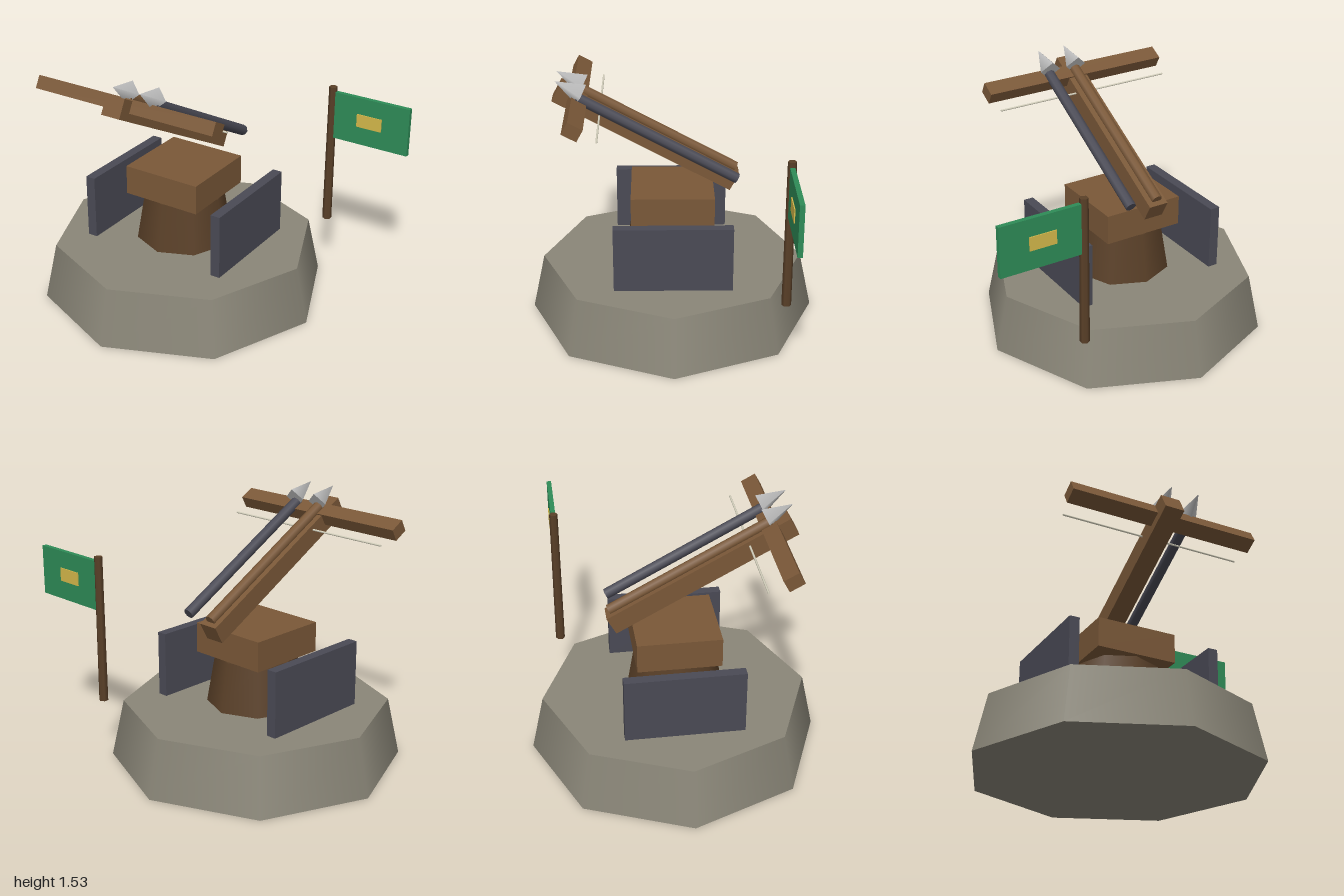
import * as THREE from 'three';

const mat = (name, color) => Object.assign(new THREE.MeshStandardMaterial({ color }), { name });
const MID = -0.14; // x of the turret's axis

export function createModel() {
  const stone = mat('stone', 0x8a8678);
  const wood = mat('wood', 0x7a5838);
  const darkWood = mat('dark wood', 0x5a4028);
  const iron = mat('iron', 0x4a4a55);
  const steel = mat('steel', 0xc0c0c0);
  const cord = mat('cord', 0xd8d4c0);
  const green = mat('flag green', 0x2e8b57);
  const gold = mat('emblem gold', 0xd4b84a);

  const model = new THREE.Group();
  model.name = 'ballistaTurret';

  const add = (parent, name, geometry, material, x, y, z) => {
    const mesh = new THREE.Mesh(geometry, material);
    mesh.name = name;
    mesh.position.set(x, y, z);
    parent.add(mesh);
    return mesh;
  };
  const box = (w, h, d) => new THREE.BoxGeometry(w, h, d);
  const cyl = (top, bottom, h, sides) => new THREE.CylinderGeometry(top, bottom, h, sides);

  // Octagonal plinth, pedestal and turntable
  add(model, 'plinth', cyl(0.785, 0.86, 0.345, 8), stone, MID, 0.1725, 0);
  add(model, 'pedestal', cyl(0.24, 0.29, 0.295, 8), darkWood, MID, 0.4945, 0);
  add(model, 'turntable', box(0.49, 0.178, 0.49), wood, MID, 0.741, 0);

  // Shield plates on both sides
  for (const side of [-1, 1]) {
    add(model, side > 0 ? 'leftShield' : 'rightShield', box(0.06, 0.39, 0.69), iron, MID + side * 0.44, 0.547, 0);
  }

  // Tilted ballista: its own +z runs along the stock
  const ballista = new THREE.Group();
  ballista.name = 'ballista';
  ballista.position.set(MID, 1.1375, 0.15);
  ballista.rotation.x = -0.5;
  model.add(ballista);

  add(ballista, 'stock', box(0.12, 0.114, 1.18), wood, 0, 0, 0);
  add(ballista, 'bow', box(1.175, 0.077, 0.094), wood, 0, 0.026, 0.466);
  add(ballista, 'bowstring', cyl(0.006, 0.006, 1.125, 6), cord, 0, 0.028, 0.32).rotation.z = Math.PI / 2;

  // Rail on the stock and loose bolt beside it, each with a pointed head
  const shafts = [['rail', 0, wood], ['bolt', 0.175, iron]];
  for (const [name, x, material] of shafts) {
    add(ballista, name + 'Shaft', cyl(0.032, 0.032, 1.05, 8), material, x, 0.071, -0.035).rotation.x = Math.PI / 2;
    add(ballista, name + 'Head', new THREE.ConeGeometry(0.065, 0.166, 4), steel, x, 0.1, 0.556).rotation.x = Math.PI / 2;
  }

  // Flag at the back corner
  add(model, 'flagPole', cyl(0.025, 0.028, 0.88, 6), darkWood, 0.498, 0.79, -0.638);
  add(model, 'flag', box(0.48, 0.295, 0.028), green, 0.76, 1.055, -0.638);
  add(model, 'flagEmblem', box(0.16, 0.08, 0.04), gold, 0.75, 1.06, -0.638);

  return model;
}
